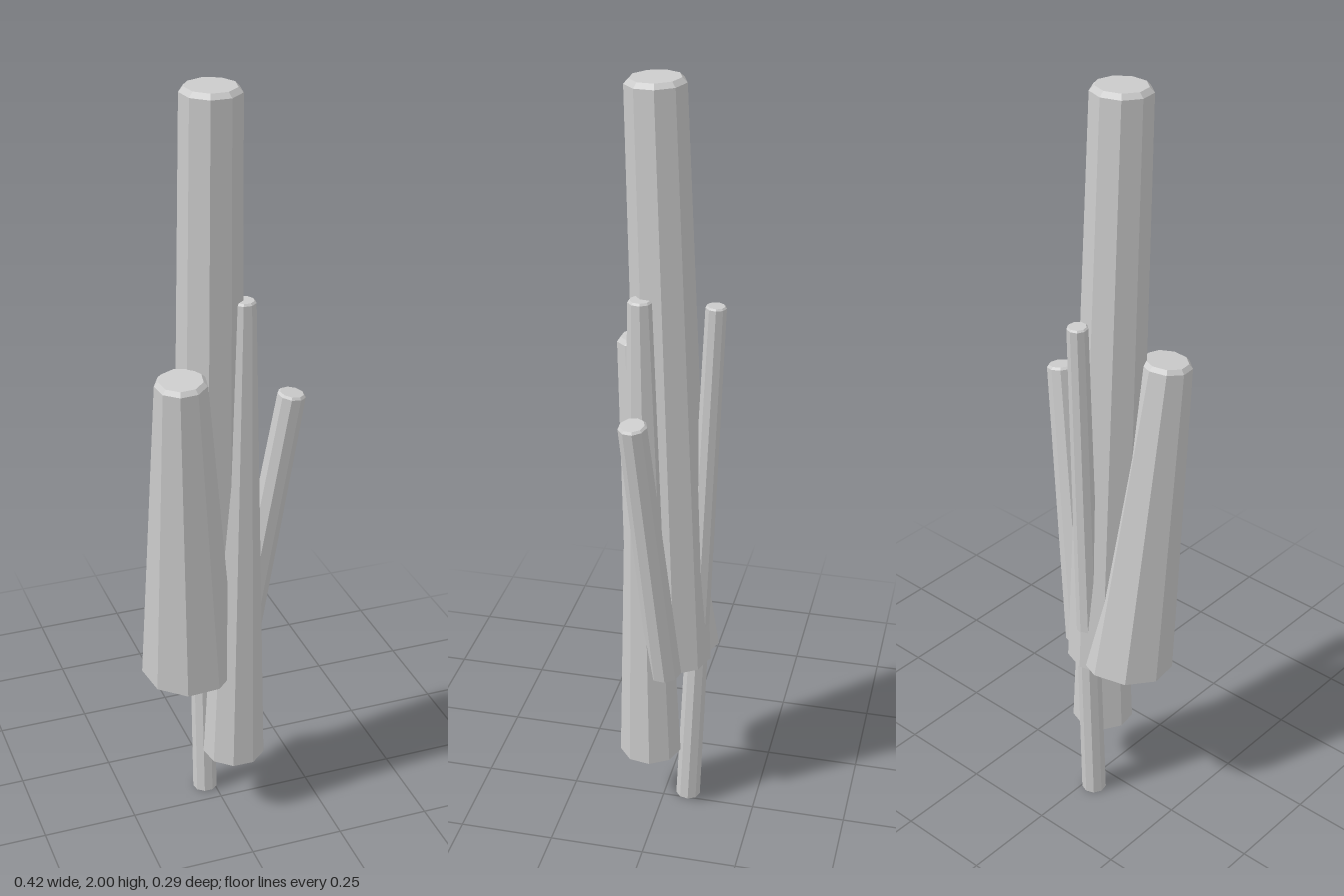
import * as THREE from 'three';

const SIDES = 9;

// Tapered, leaning column: open at the bottom, bevelled cap on top
function column(name, bottom, rBottom, top, rTop) {
  const a = new THREE.Vector3(...bottom);
  const axis = new THREE.Vector3(...top).sub(a);
  const h = axis.length();
  const bevel = rTop * 0.16;
  const profile = [
    [rBottom, 0],
    [rTop, h - bevel],
    [rTop - bevel, h],
    [0, h],
  ].map(([r, y]) => new THREE.Vector2(r, y));
  const mesh = new THREE.Mesh(
    new THREE.LatheGeometry(profile, SIDES, Math.PI),
    new THREE.MeshStandardMaterial({ color: 0xcccccc, flatShading: true, side: THREE.DoubleSide })
  );
  mesh.name = name;
  mesh.position.copy(a);
  mesh.quaternion.setFromUnitVectors(new THREE.Vector3(0, 1, 0), axis.normalize());
  return mesh;
}

export function createModel() {
  const group = new THREE.Group();
  group.name = 'columnCluster';
  group.add(
    // tall central column
    column('mainColumn', [-0.027, 0.45, -0.028], 0.094, [-0.034, 1.998, 0.026], 0.074),
    // wide column on the right flank
    column('wideColumn', [-0.087, 0.45, -0.007], 0.125, [-0.131, 1.32, 0.084], 0.065),
    // slender column at the front
    column('frontColumn', [0.025, 0.18, 0.029], 0.082, [0.039, 1.485, 0.047], 0.031),
    // thin column leaning out to the left
    column('leaningColumn', [0.058, 0.45, -0.018], 0.043, [0.171, 1.22, 0.036], 0.036),
    // thin column at the back, reaching the ground
    column('backColumn', [-0.025, 0.002, -0.064], 0.033, [-0.03, 1.457, -0.122], 0.026)
  );
  return group;
}
